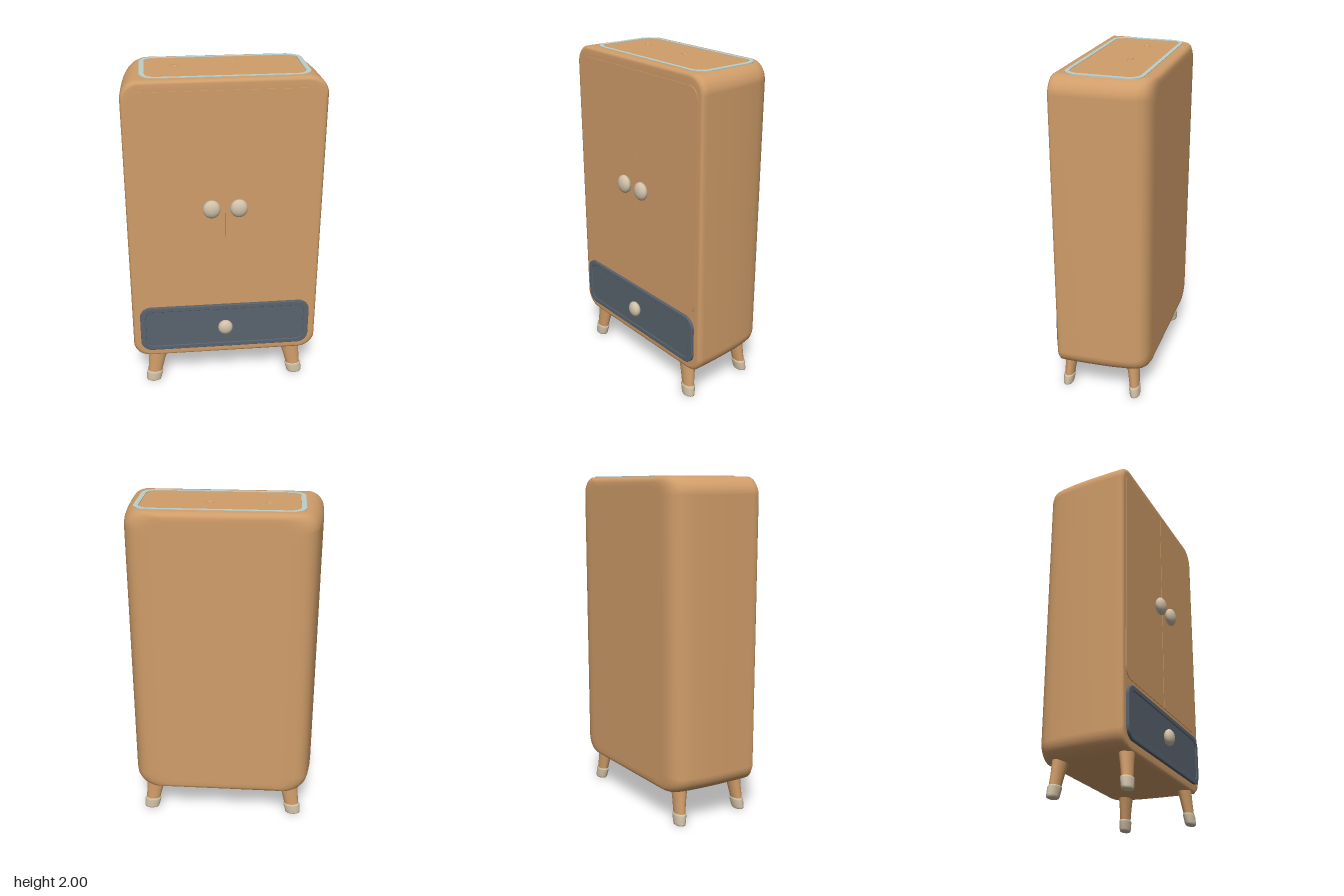
import * as THREE from 'three';

const mat = (name, color) => Object.assign(new THREE.MeshStandardMaterial({ color }), { name });

// Rounded rectangle path; r gives the corner radii [bottomLeft, bottomRight, topRight, topLeft]
function roundRect(target, x0, y0, x1, y1, r) {
  const [a, b, c, d] = Array.isArray(r) ? r : [r, r, r, r];
  target.moveTo(x0 + a, y0);
  target.lineTo(x1 - b, y0);
  target.absarc(x1 - b, y0 + b, b, -Math.PI / 2, 0, false);
  target.lineTo(x1, y1 - c);
  target.absarc(x1 - c, y1 - c, c, 0, Math.PI / 2, false);
  target.lineTo(x0 + d, y1);
  target.absarc(x0 + d, y1 - d, d, Math.PI / 2, Math.PI, false);
  target.lineTo(x0, y0 + a);
  target.absarc(x0 + a, y0 + a, a, Math.PI, Math.PI * 1.5, false);
  return target;
}

function plate(shape, depth, bevel = 0) {
  return new THREE.ExtrudeGeometry(shape, {
    depth, curveSegments: 10, bevelEnabled: bevel > 0,
    bevelSize: bevel, bevelThickness: bevel, bevelOffset: -bevel, bevelSegments: 3,
  });
}

// Cabinet shell: rounded sections lofted from front to back
function bodyGeometry() {
  // [z, half width, inset of top and bottom]
  const rows = [
    [0.243, 0.53, 0.05], [0.243, 0.556, 0.02], [0.24, 0.568, 0.009], [0.228, 0.576, 0.001],
    [0.2, 0.576, 0], [0.1, 0.573, 0], [0, 0.568, 0], [-0.1, 0.56, 0], [-0.19, 0.547, 0],
    [-0.235, 0.535, 0], [-0.265, 0.517, 0.001], [-0.285, 0.493, 0.006],
    [-0.298, 0.462, 0.015], [-0.304, 0.425, 0.032], [-0.304, 0.39, 0.06],
  ];
  const steps = 10, pos = [], index = [], n = 4 * (steps + 1);
  const ring = (z, w, inset) => {
    const r = 0.1, y0 = 0.2 + inset, y1 = 1.997 - inset;
    for (let k = 0; k < 4; k++) for (let s = 0; s <= steps; s++) {
      const a = (k + s / steps) * Math.PI / 2;
      const cx = (k === 0 || k === 3) ? w - r : r - w;
      const cy = k < 2 ? y1 - r : y0 + r;
      pos.push(cx + r * Math.cos(a), cy + r * Math.sin(a), z);
    }
  };
  rows.forEach(row => ring(...row));
  for (let i = 0; i < rows.length - 1; i++) for (let j = 0; j < n; j++) {
    const k = (j + 1) % n, a = i * n + j, b = i * n + k, c = a + n, d = b + n;
    index.push(a, c, b, b, c, d);
  }
  // front and back faces
  const front = pos.length / 3, back = front + 1, last = (rows.length - 1) * n;
  pos.push(0, 1.1, rows[0][0], 0, 1.1, rows[rows.length - 1][0]);
  for (let j = 0; j < n; j++) {
    const k = (j + 1) % n;
    index.push(front, j, k, back, last + k, last + j);
  }
  const g = new THREE.BufferGeometry();
  g.setAttribute('position', new THREE.Float32BufferAttribute(pos, 3));
  g.setIndex(index);
  g.computeVertexNormals();
  return g;
}

// Oval turned piece that leans outwards towards the floor
function leaningLathe(profile, sx, sz) {
  const g = new THREE.LatheGeometry(profile.map(p => new THREE.Vector2(...p)), 24);
  const p = g.attributes.position;
  for (let i = 0; i < p.count; i++) {
    const y = p.getY(i), lean = 1 - y / 0.2;
    p.setXYZ(i, sx * (0.428 + 0.034 * lean) + p.getX(i),
      y, sz * (0.2 + 0.02 * lean) + p.getZ(i) * 0.66);
  }
  g.computeVertexNormals();
  return g;
}

export function createModel() {
  const model = new THREE.Group();
  model.name = 'wardrobe';
  const wood = mat('warm wood', 0xd09d69);
  const slate = mat('slate drawer', 0x59636e);
  const cream = mat('cream', 0xd0c1a8);
  const pale = mat('pale blue trim', 0xbccfca);

  const add = (name, geometry, material, x = 0, y = 0, z = 0) => {
    const mesh = new THREE.Mesh(geometry, material);
    mesh.name = name;
    mesh.position.set(x, y, z);
    model.add(mesh);
    return mesh;
  };

  add('cabinetBody', bodyGeometry(), wood);

  // Two doors with rounded outer corners and a narrow gap between them
  const r = 0.065;
  add('rightDoor', plate(roundRect(new THREE.Shape(), -0.535, 0.598, -0.003, 1.937, [r, 0.008, 0.008, r]), 0.008), wood, 0, 0, 0.239);
  add('leftDoor', plate(roundRect(new THREE.Shape(), 0.003, 0.598, 0.535, 1.937, [0.008, r, r, 0.008]), 0.008), wood, 0, 0, 0.239);

  // Drawer front with a raised rim
  add('drawerFront', plate(roundRect(new THREE.Shape(), -0.53, 0.255, 0.53, 0.565, 0.07), 0.012, 0.004), slate, 0, 0, 0.239);
  const rim = roundRect(new THREE.Shape(), -0.53, 0.255, 0.53, 0.565, 0.07);
  rim.holes.push(roundRect(new THREE.Path(), -0.495, 0.285, 0.495, 0.535, 0.045));
  add('drawerRim', plate(rim, 0.012, 0.004), slate, 0, 0, 0.244);

  // Knobs
  const knob = (name, x, y, radius, z, depth) =>
    add(name, new THREE.SphereGeometry(1, 28, 20), cream, x, y, z).scale.set(radius, radius * 1.07, depth);
  knob('rightDoorKnob', -0.082, 1.236, 0.052, 0.273, 0.032);
  knob('leftDoorKnob', 0.078, 1.236, 0.052, 0.273, 0.032);
  knob('drawerKnob', 0, 0.412, 0.046, 0.275, 0.03);

  // Pale inlay on the top
  const inlay = roundRect(new THREE.Shape(), -0.465, -0.195, 0.495, 0.245, 0.085);
  inlay.holes.push(roundRect(new THREE.Path(), -0.437, -0.173, 0.467, 0.223, 0.065));
  add('topInlay', plate(inlay, 0.006), pale, 0, 1.994, 0).rotation.x = -Math.PI / 2;

  // Two small oval dimples on the top
  for (const x of [-0.26, 0.077]) {
    const ring = add('topDimpleRim', new THREE.TorusGeometry(0.022, 0.007, 8, 24), wood, x, 1.997, -0.062);
    ring.rotation.x = -Math.PI / 2;
    ring.scale.set(1, 0.6, 0.4);
    const spot = add('topDimple', new THREE.CircleGeometry(0.008, 16), pale, x, 1.9985, -0.058);
    spot.rotation.x = -Math.PI / 2;
    spot.scale.y = 0.5;
  }

  // Splayed legs with cream feet
  for (const sx of [-1, 1]) for (const sz of [-1, 1]) {
    const side = `${sz > 0 ? 'front' : 'back'}${sx > 0 ? 'Left' : 'Right'}`;
    add(`${side}Leg`, leaningLathe([[0.044, 0.06], [0.051, 0.14], [0.059, 0.2], [0.062, 0.225]], sx, sz), wood);
    add(`${side}Foot`, leaningLathe([[0, 0], [0.038, 0], [0.045, 0.004], [0.048, 0.014], [0.052, 0.058], [0.05, 0.067], [0.042, 0.071]], sx, sz), cream);
  }
  return model;
}
